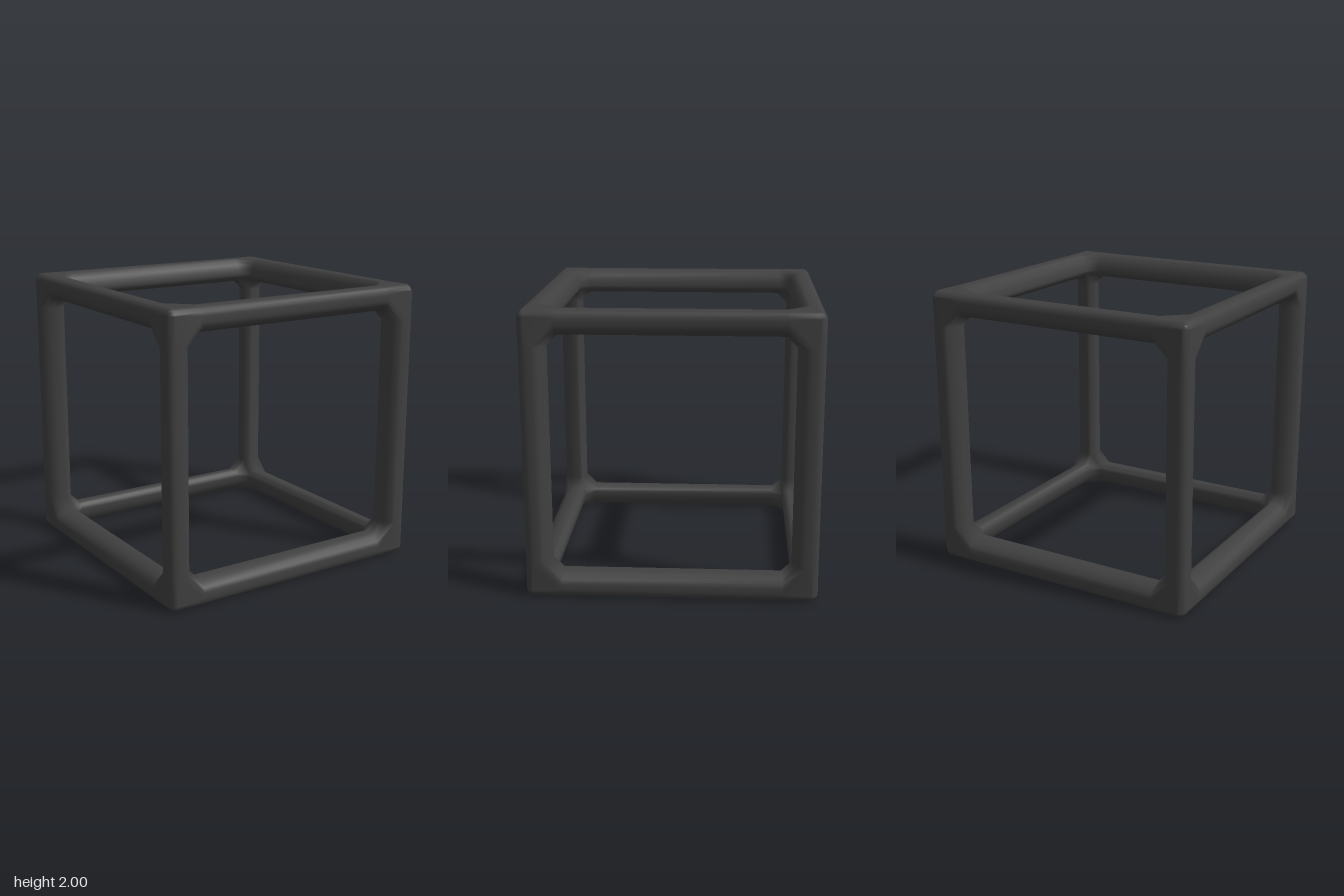
import * as THREE from 'three';
import { mergeGeometries, mergeVertices } from 'three/addons/utils/BufferGeometryUtils.js';
import { ConvexGeometry } from 'three/addons/geometries/ConvexGeometry.js';

const END = 0.75; // where a straight bar meets its corner joint

// Half of the rounded bar section, from outer tip to inner tip; mirrored across the diagonal
const half = [
  [0.984, 0.984], [0.995, 0.965], [1, 0.94], [1, 0.9], [0.99, 0.87],
  [0.955, 0.84], [0.915, 0.826], [0.875, 0.82], [0.853, 0.826], [0.84, 0.84],
];
const section = [...half, ...half.slice(1, -1).reverse().map(([u, v]) => [v, u])];

// Straight bar along z in the +x +y quadrant
function barGeometry() {
  const shape = new THREE.Shape(section.map(([u, v]) => new THREE.Vector2(u, v)));
  const geo = new THREE.ExtrudeGeometry(shape, { depth: 2 * END, bevelEnabled: false });
  geo.translate(0, 0, -END);
  return geo;
}

// Corner joint: hull of the three bar ends and a softened tip, giving the inner gussets
function cornerGeometry() {
  const points = [new THREE.Vector3(0.975, 0.975, 0.975)];
  const addTurns = (a, b, c) => points.push(
    new THREE.Vector3(a, b, c), new THREE.Vector3(c, a, b), new THREE.Vector3(b, c, a));
  section.forEach(([u, v]) => addTurns(u, v, END));
  addTurns(1, 0.955, 0.955);
  addTurns(0.984, 0.984, 0.955);
  addTurns(0.995, 0.965, 0.958);
  addTurns(0.965, 0.995, 0.958);
  return new ConvexGeometry(points);
}

// Removes the hidden faces between bars and joints
function dropCaps(geo) {
  const p = geo.attributes.position;
  const kept = [];
  for (let i = 0; i < p.count; i += 3) {
    const tri = [0, 1, 2].map((k) => new THREE.Vector3().fromBufferAttribute(p, i + k));
    const isCap = ['x', 'y', 'z'].some((axis) => [END, -END].some(
      (t) => tri.every((q) => Math.abs(q[axis] - t) < 1e-4)));
    if (!isCap) tri.forEach((q) => kept.push(q.x, q.y, q.z));
  }
  const out = new THREE.BufferGeometry();
  out.setAttribute('position', new THREE.Float32BufferAttribute(kept, 3));
  return out;
}

export function createModel() {
  const parts = [];
  const bar = barGeometry();
  const corner = cornerGeometry();

  for (let i = 0; i < 4; i++) {
    const turn = i * Math.PI / 2;
    // Four bars along each axis
    parts.push(bar.clone().rotateZ(turn));
    parts.push(bar.clone().rotateZ(turn).rotateY(Math.PI / 2));
    parts.push(bar.clone().rotateZ(turn).rotateX(Math.PI / 2));
    // Upper and lower corners
    parts.push(corner.clone().rotateY(turn));
    parts.push(corner.clone().rotateX(Math.PI).rotateY(turn));
  }
  const merged = mergeGeometries(parts.map(dropCaps));
  const geo = mergeVertices(merged, 1e-4);
  geo.computeVertexNormals();
  geo.translate(0, 1, 0);

  const frame = new THREE.Mesh(geo, new THREE.MeshStandardMaterial({ color: 0x404040 }));
  frame.name = 'cubeFrame';
  const group = new THREE.Group();
  group.name = 'openCube';
  group.add(frame);
  return group;
}
